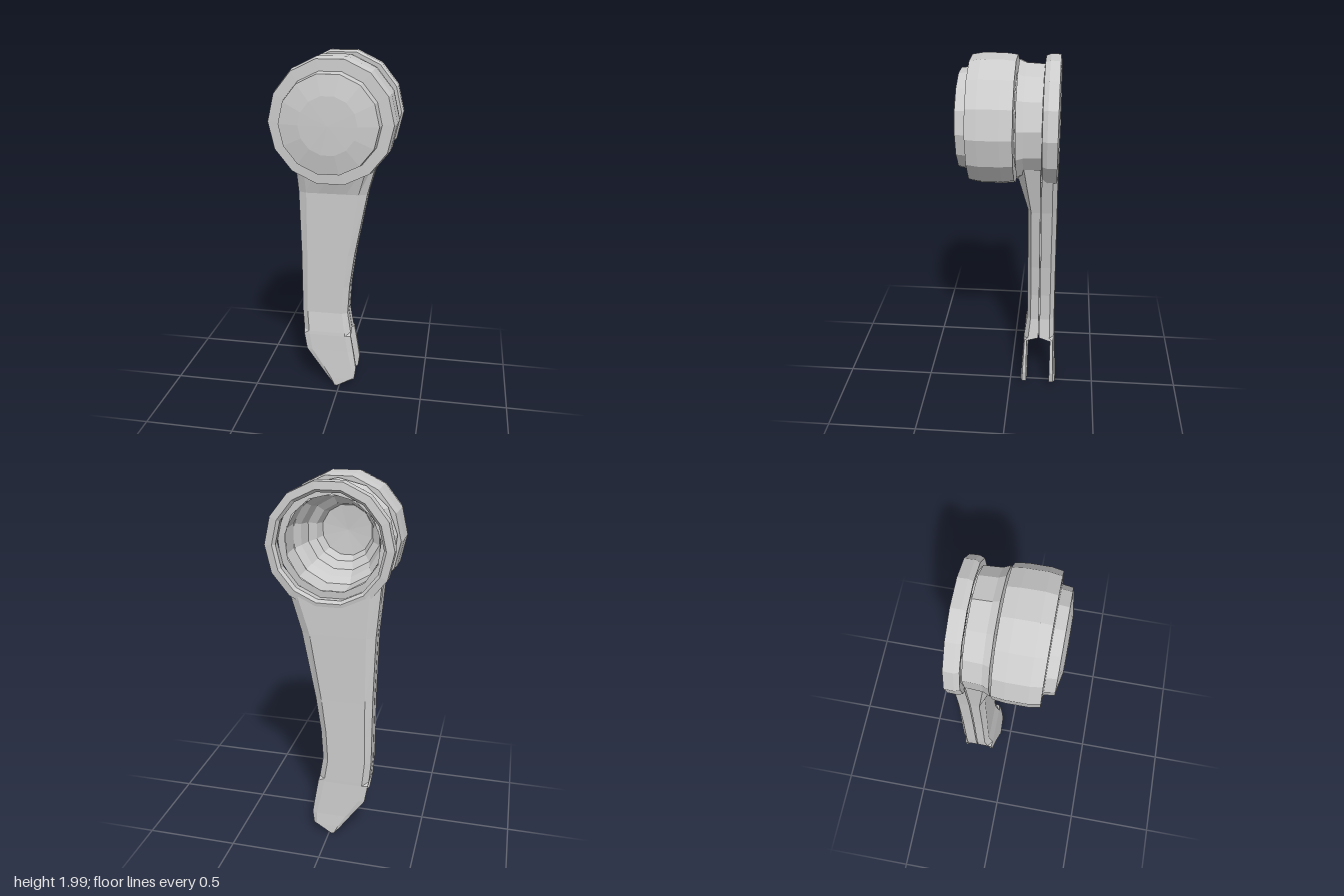
import * as THREE from 'three';

const material = new THREE.MeshStandardMaterial({ color: 0xcccccc, flatShading: true, side: THREE.DoubleSide });
const HUB_Y = 1.675;

// Faceted round part about the z axis from [radius, z] points.
function turned(name, profile, sides) {
  const geometry = new THREE.LatheGeometry(profile.map(([r, z]) => new THREE.Vector2(r, z)), sides, Math.PI / sides);
  geometry.rotateX(Math.PI / 2);
  const mesh = new THREE.Mesh(geometry, material);
  mesh.name = name;
  mesh.position.y = HUB_Y;
  return mesh;
}

// Half of the arm lofted upward through rows of [y, left x, right x, front z, back z].
// The top row follows the round hub; the outward face gets bevelled edges.
function armHalf(name, rows, hubRadius, facesFront) {
  const columns = [0, 0.12, 0.3, 0.5, 0.7, 0.88, 1];
  const n = columns.length;
  const positions = [];
  const index = [];
  rows.forEach(([y, x0, x1, front, back], r) => {
    const edge = (back - front) * 0.3;
    const point = (t, isFront) => {
      const x = x0 + (x1 - x0) * t;
      const py = r === rows.length - 1 ? HUB_Y - Math.sqrt(hubRadius ** 2 - x * x) : y;
      const bevel = isFront === facesFront && (t === 0 || t === 1);
      const z = isFront ? front + (bevel ? edge : 0) : back - (bevel ? edge : 0);
      positions.push(x, py, z);
    };
    columns.forEach(t => point(t, true));
    [...columns].reverse().forEach(t => point(t, false));
  });
  const ring = 2 * n;
  for (let r = 0; r < rows.length - 1; r++) {
    for (let j = 0; j < ring; j++) {
      const a = r * ring + j, b = r * ring + (j + 1) % ring;
      index.push(a, b, b + ring, a, b + ring, a + ring);
    }
  }
  // End caps
  const top = (rows.length - 1) * ring;
  for (let k = 0; k < n - 1; k++) {
    const f0 = k, f1 = k + 1, b0 = ring - 1 - k, b1 = ring - 2 - k;
    index.push(top + f0, top + f1, top + b1, top + f0, top + b1, top + b0);
    index.push(f0, b1, f1, f0, b0, b1);
  }
  const geometry = new THREE.BufferGeometry();
  geometry.setAttribute('position', new THREE.Float32BufferAttribute(positions, 3));
  geometry.setIndex(index);
  geometry.computeVertexNormals();
  const mesh = new THREE.Mesh(geometry, material);
  mesh.name = name;
  return mesh;
}

export function createModel() {
  const model = new THREE.Group();
  model.name = 'jointedArm';

  // Front drum with its domed cap, hollow from behind
  model.add(turned('drum', [
    [0.25, -0.035], [0.325, -0.033], [0.332, 0.03], [0.332, 0.14], [0.322, 0.197], [0.262, 0.2],
  ], 14));
  model.add(turned('cap', [[0.262, 0.2], [0.255, 0.253], [0.15, 0.273], [0, 0.277]], 14));

  // Neck and stepped socket that opens at the back
  model.add(turned('neck', [[0.25, -0.04], [0.31, -0.045], [0.295, -0.08], [0.29, -0.172], [0.25, -0.175]], 13));
  model.add(turned('socket', [
    [0.25, -0.175], [0.25, -0.04], [0.22, 0.0], [0.2, 0.07], [0.16, 0.1], [0.14, 0.16], [0, 0.17],
  ], 12));

  // Back ring
  model.add(turned('backRing', [
    [0.285, -0.178], [0.322, -0.175], [0.332, -0.2], [0.33, -0.25], [0.29, -0.256], [0.275, -0.24], [0.285, -0.178],
  ], 14));

  // Arm outline shared by both halves: y, left x, right x
  const outline = [
    [0.01, -0.03, -0.01], [0.06, -0.07, 0.09], [0.13, -0.12, 0.1], [0.24, -0.2, 0.083],
    [0.34, -0.217, 0.066], [0.36, -0.22, 0.062], [0.48, -0.23, 0.042], [0.65, -0.231, 0.052],
    [0.85, -0.232, 0.08], [1.22, -0.243, 0.15], [1.48, -0.27, 0.225],
  ];
  const frontZ = [-0.064, -0.066, -0.07, -0.076, -0.081, -0.083, -0.1, -0.1, -0.1, -0.1, -0.048];
  const backZ = [-0.277, -0.274, -0.268, -0.263, -0.259, -0.259, -0.257, -0.256, -0.255, -0.255, -0.253];

  // Both halves thin out below y = 0.35 to leave an open fork
  const frontRows = outline.map((row, i) => [...row, frontZ[i], i < 5 ? Math.min(-0.1, frontZ[i] - 0.02) : -0.168]);
  const backRows = outline.map((row, i) => [...row, i < 5 ? -0.238 : -0.174, backZ[i]]);
  model.add(armHalf('frontArmHalf', frontRows, 0.29, true));
  model.add(armHalf('backArmHalf', backRows, 0.3, false));

  // Core joining the two halves
  const coreRows = outline.slice(5, 10).map(([y, a, b]) => [y, a + 0.03, b - 0.03, -0.15, -0.2]);
  coreRows.push([1.4, -0.2, 0.16, -0.15, -0.2]);
  model.add(armHalf('armCore', coreRows, 0.32, true));

  return model;
}
